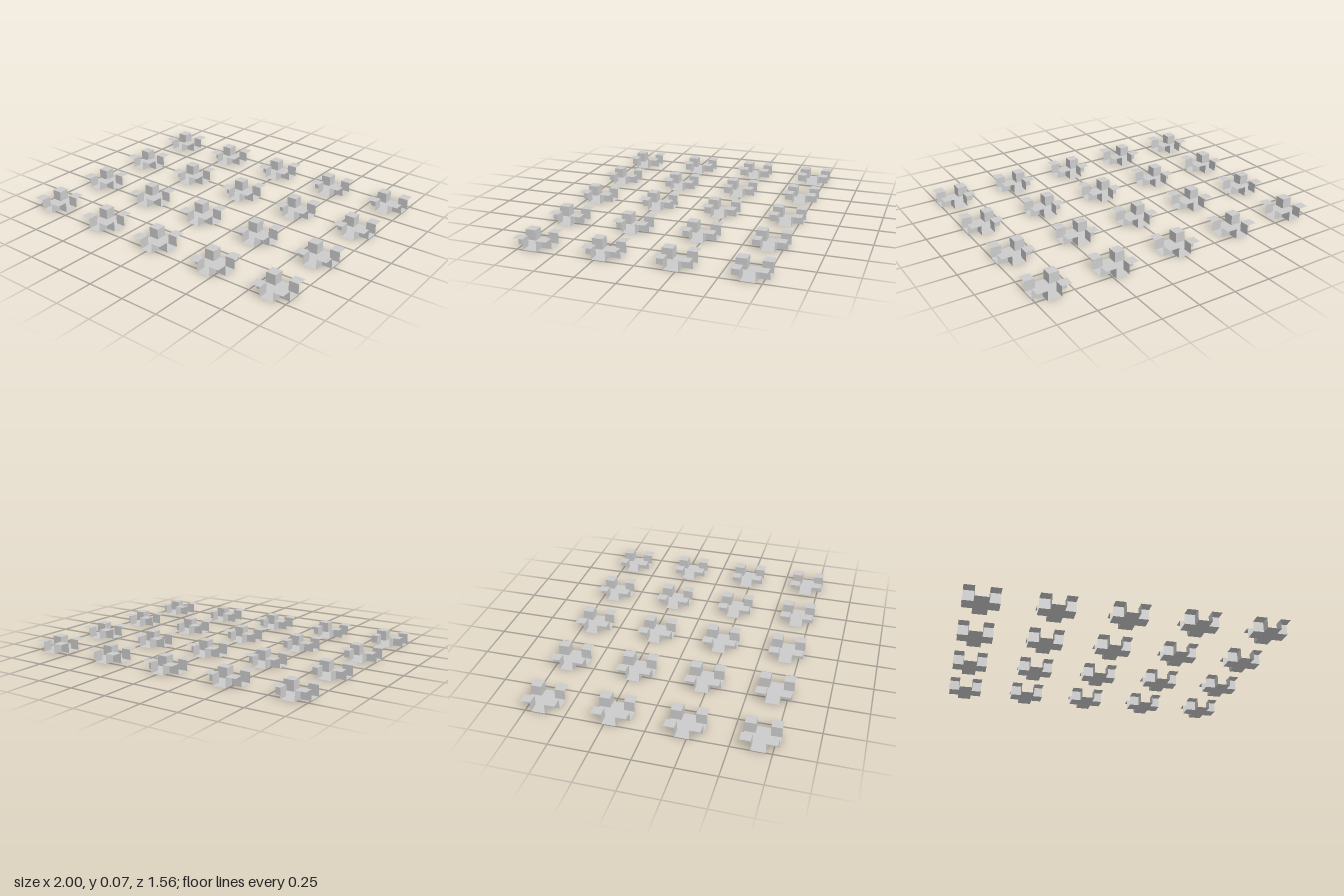
import * as THREE from 'three';

const TILE = 2 / 9;          // tile width
const PITCH = 2 * TILE;      // spacing between tile centres
const NOTCH = TILE * 0.3;    // corner block width and height
const H = TILE / 2;
const IN = H - NOTCH;        // half width of the crossing lanes

const material = new THREE.MeshStandardMaterial({
  color: 0xcccccc, flatShading: true, side: THREE.DoubleSide,
});

// Plus-shaped floor, lying flat and facing up
function floorGeometry() {
  const shape = new THREE.Shape([
    [IN, H], [-IN, H], [-IN, IN], [-H, IN], [-H, -IN], [-IN, -IN],
    [-IN, -H], [IN, -H], [IN, -IN], [H, -IN], [H, IN], [IN, IN],
  ].map(([x, y]) => new THREE.Vector2(x, y)));
  return new THREE.ShapeGeometry(shape).rotateX(-Math.PI / 2);
}

const floorGeo = floorGeometry();
const plane = () => new THREE.PlaneGeometry(NOTCH, NOTCH);
const mid = (IN + H) / 2;

// Raised corner at +x +z: a top and two walls facing the lanes, open outside
const cornerParts = {
  cornerTop: plane().rotateX(-Math.PI / 2).translate(mid, NOTCH, mid),
  cornerWallAcross: plane().rotateY(Math.PI).translate(mid, NOTCH / 2, IN),
  cornerWallAlong: plane().rotateY(-Math.PI / 2).translate(IN, NOTCH / 2, mid),
};

function mesh(name, geometry) {
  const m = new THREE.Mesh(geometry, material);
  m.name = name;
  return m;
}

function createTile() {
  const tile = new THREE.Group();
  tile.name = 'crossingTile';
  tile.add(mesh('floor', floorGeo));
  for (let i = 0; i < 4; i++) {
    const corner = new THREE.Group();
    corner.name = 'raisedCorner';
    for (const [name, geo] of Object.entries(cornerParts)) corner.add(mesh(name, geo));
    corner.rotation.y = i * Math.PI / 2;
    tile.add(corner);
  }
  return tile;
}

export function createModel() {
  const model = new THREE.Group();
  model.name = 'crossingTiles';
  // Five columns by four rows of identical tiles
  for (let col = 0; col < 5; col++) {
    for (let row = 0; row < 4; row++) {
      const tile = createTile();
      tile.position.set((col - 2) * PITCH, 0, (row - 1.5) * PITCH);
      model.add(tile);
    }
  }
  return model;
}
